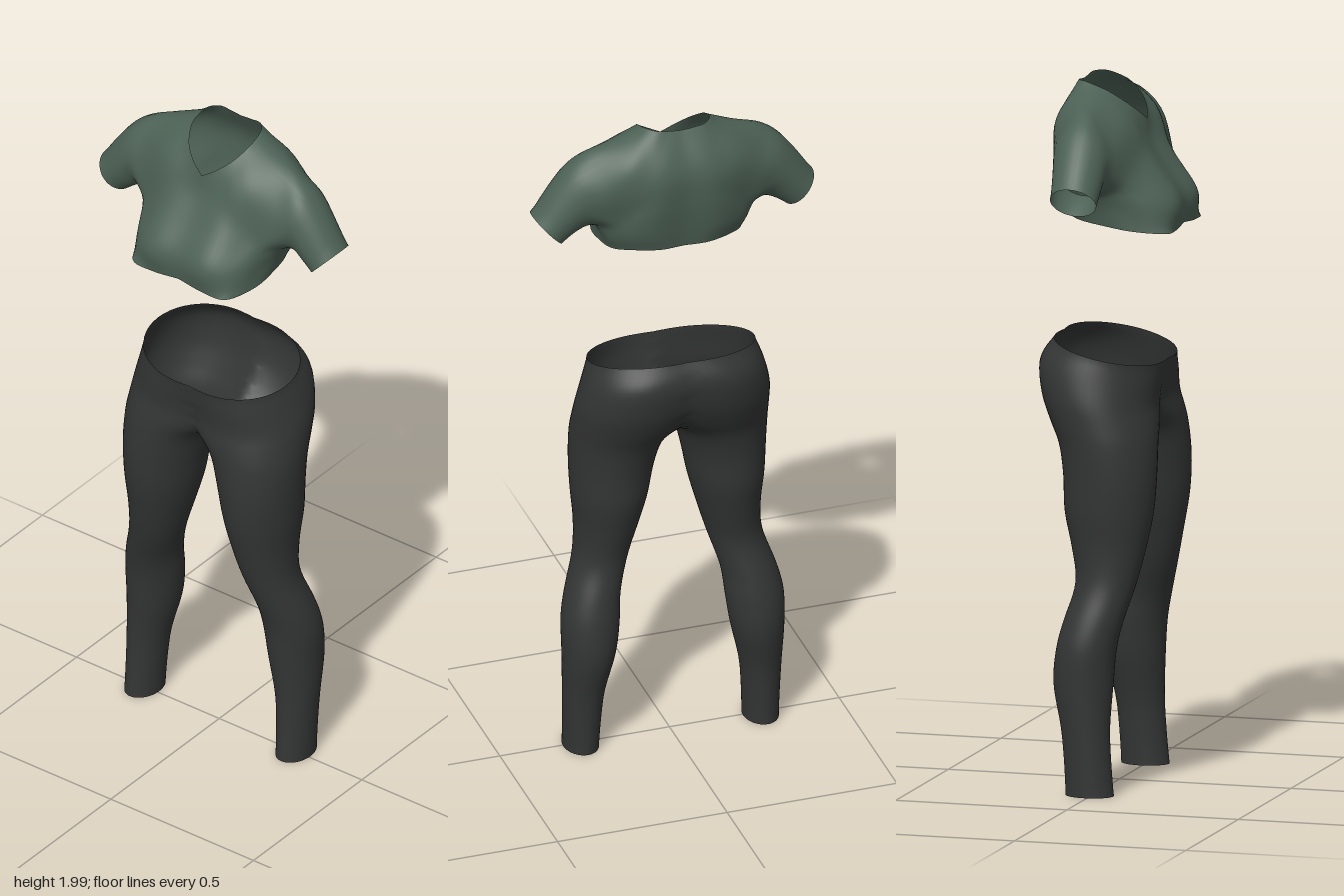
import * as THREE from 'three';
import { mergeVertices } from 'three/addons/utils/BufferGeometryUtils.js';

const V = (p) => new THREE.Vector3(...p);
const samples = (pts, n) => new THREE.CatmullRomCurve3(pts, false, 'catmullrom').getPoints(n);

// Rows of points from a few key rows, by a spline down each column
function loft(keys, steps) {
  const n = steps * (keys.length - 1);
  const cols = keys[0].map((_, c) => samples(keys.map((k) => k[c]), n));
  return Array.from({ length: n + 1 }, (_, r) => cols.map((col) => col[r]));
}

// Relax the cloth while its open edges stay where they are
function relax(geo, rounds) {
  const pos = geo.attributes.position, idx = geo.index.array;
  const near = Array.from({ length: pos.count }, () => new Map());
  const link = (a, b) => near[a].set(b, (near[a].get(b) || 0) + 1);
  for (let i = 0; i < idx.length; i += 3) {
    for (let k = 0; k < 3; k++) {
      const a = idx[i + k], b = idx[i + (k + 1) % 3];
      link(a, b);
      link(b, a);
    }
  }
  const free = near.map((m) => m.size > 0 && [...m.values()].every((n) => n > 1));
  const v = new THREE.Vector3(), sum = new THREE.Vector3();
  for (let round = 0; round < rounds; round++) {
    const old = pos.clone();
    for (let i = 0; i < pos.count; i++) {
      if (!free[i]) continue;
      sum.set(0, 0, 0);
      for (const j of near[i].keys()) sum.add(v.fromBufferAttribute(old, j));
      sum.divideScalar(near[i].size);
      v.fromBufferAttribute(old, i).lerp(sum, 0.5);
      pos.setXYZ(i, v.x, v.y, v.z);
    }
  }
}

// Grids of the left half, mirrored and welded into one smooth open surface
function garment(name, grids, color, rounds) {
  const out = [];
  const tri = (a, b, c) => {
    if (Math.max(a.x, b.x, c.x) < 1e-4) return; // no wall on the centre plane
    if (new THREE.Triangle(a, b, c).getArea() < 1e-9) return;
    for (const p of [a, b, c]) out.push(p.x, p.y, p.z);
    for (const p of [a, c, b]) out.push(-p.x, p.y, p.z);
  };
  for (const rows of grids) {
    for (let r = 0; r + 1 < rows.length; r++) {
      for (let c = 0; c + 1 < rows[r].length; c++) {
        const a = rows[r][c], b = rows[r][c + 1], d = rows[r + 1][c], e = rows[r + 1][c + 1];
        tri(a, d, b);
        tri(b, d, e);
      }
    }
  }
  let geo = new THREE.BufferGeometry();
  geo.setAttribute('position', new THREE.Float32BufferAttribute(out, 3));
  geo = mergeVertices(geo, 1e-5);
  relax(geo, rounds);
  geo.computeVertexNormals();
  const mesh = new THREE.Mesh(geo, new THREE.MeshStandardMaterial({ color, side: THREE.DoubleSide }));
  mesh.name = name;
  return mesh;
}

function trousers() {
  // y, inner x, outer x, front z, back z, centre x; from waist to ankle
  const keys = [
    [1.24, -0.2, 0.242, 0.142, -0.165, 0.05],
    [1.18, -0.16, 0.262, 0.14, -0.2, 0.085],
    [1.11, -0.11, 0.28, 0.138, -0.19, 0.1],
    [1.05, -0.06, 0.285, 0.147, -0.16, 0.12],
    [0.99, 0.012, 0.287, 0.153, -0.128, 0.145],
    [0.9, 0.043, 0.285, 0.156, -0.11, 0.165],
    [0.8, 0.063, 0.28, 0.15, -0.105, 0.172],
    [0.7, 0.09, 0.271, 0.131, -0.082, 0.18],
    [0.6, 0.12, 0.276, 0.108, -0.065, 0.198],
    [0.5, 0.15, 0.308, 0.08, -0.09, 0.229],
    [0.42, 0.158, 0.325, 0.063, -0.108, 0.242],
    [0.32, 0.172, 0.324, 0.056, -0.115, 0.248],
    [0.2, 0.2, 0.32, 0.05, -0.09, 0.26],
    [0.1, 0.21, 0.317, 0.055, -0.08, 0.263],
    [0.008, 0.215, 0.315, 0.063, -0.075, 0.265],
  ];
  const n = 6 * (keys.length - 1);
  const half = (from) => samples(keys.map((k) => V(k.slice(from, from + 3))), n);
  const low = half(0), high = half(3);
  const rows = low.map(({ x: y, y: inner, z: outer }, r) => {
    const { x: front, y: back, z: cx } = high[r];
    const zc = (front + back) / 2, hz = (front - back) / 2;
    return Array.from({ length: 49 }, (_, i) => {
      const t = (i % 48) / 48 * Math.PI * 2;
      const s = Math.sin(t), c = Math.cos(t);
      let x = cx + s * (s > 0 ? outer - cx : cx - inner);
      let z = zc + hz * c;
      if (x < 0) { // the two legs meet on the centre plane
        x = 0;
        z = zc + Math.sign(c) * hz * Math.sqrt(1 - (cx / (cx - inner)) ** 2);
      }
      const tilt = THREE.MathUtils.smoothstep(y, 1.0, 1.24) * 0.22; // waist rises to the back
      return new THREE.Vector3(x, y - tilt * z, z);
    });
  });
  return garment('trousers', [rows], 0x333434, 3);
}

function croppedTop() {
  const K = 6;
  const ring = (pts) => samples(pts.map(V), K * (pts.length - 1));
  // Half rings from centre front over the arm to centre back
  const neck = ring([[0, 1.888, 0.08], [0.04, 1.915, 0.066], [0.075, 1.945, 0.04],
    [0.097, 1.975, 0], [0.1, 1.99, -0.035], [0.094, 2, -0.07],
    [0.07, 2, -0.097], [0.035, 1.996, -0.101], [0, 1.993, -0.101]]);
  const shoulder = ring([[0, 1.83, 0.092], [0.07, 1.84, 0.095], [0.125, 1.86, 0.088],
    [0.16, 1.91, 0.05], [0.17, 1.965, -0.04], [0.16, 1.925, -0.125],
    [0.125, 1.87, -0.155], [0.07, 1.885, -0.163], [0, 1.885, -0.155]]);
  const split = ring([[0, 1.765, 0.13], [0.11, 1.755, 0.143], [0.2, 1.725, 0.085],
    [0.24, 1.84, 0.052], [0.247, 1.943, -0.03], [0.24, 1.84, -0.122],
    [0.2, 1.725, -0.108], [0.1, 1.77, -0.162], [0, 1.77, -0.152]]);
  const underarm = ring([[0.2, 1.725, 0.085], [0.228, 1.708, 0.035], [0.236, 1.704, -0.015],
    [0.228, 1.708, -0.065], [0.2, 1.725, -0.108]]);

  // Body below the armholes
  const bodyTop = [...split.slice(0, 2 * K), ...underarm, ...split.slice(6 * K + 1)];
  const bust = ring([[0, 1.675, 0.187], [0.1, 1.67, 0.203], [0.178, 1.66, 0.148],
    [0.21, 1.66, 0.05], [0.213, 1.66, -0.01], [0.206, 1.66, -0.068],
    [0.17, 1.68, -0.115], [0.09, 1.69, -0.147], [0, 1.69, -0.138]]);
  const hem = ring([[0, 1.598, 0.188], [0.09, 1.59, 0.192], [0.163, 1.592, 0.184],
    [0.198, 1.6, 0.1], [0.202, 1.612, 0.02], [0.19, 1.625, -0.06],
    [0.14, 1.635, -0.108], [0.07, 1.635, -0.13], [0, 1.635, -0.127]]);

  // Sleeve: ovals between a top and a bottom point, starting at the front armpit
  const armhole = [...split.slice(2 * K, 6 * K), ...underarm.slice().reverse()];
  const turns = [115, 75, 0, -75, -115, -150, -180, -210, -245];
  const oval = (tx, ty, bx, by, zc, rz) => armhole.map((_, i) => {
    const k = Math.min(Math.floor(i / K), 7);
    const a = THREE.MathUtils.degToRad(THREE.MathUtils.lerp(turns[k], turns[k + 1], i / K - k));
    const f = (1 - Math.cos(a)) / 2;
    return new THREE.Vector3(THREE.MathUtils.lerp(tx, bx, f), THREE.MathUtils.lerp(ty, by, f),
      zc + rz * Math.sin(a));
  });
  const sleeve = [armhole,
    oval(0.305, 1.9, 0.262, 1.703, -0.028, 0.08),
    oval(0.36, 1.832, 0.295, 1.686, -0.024, 0.072),
    oval(0.413, 1.75, 0.33, 1.66, -0.022, 0.066)];

  return garment('croppedTop', [
    loft([neck, shoulder, split], 7),
    loft([bodyTop, bust, hem], 6),
    loft(sleeve, 5),
  ], 0x4d6155, 5);
}

export function createModel() {
  const group = new THREE.Group();
  group.name = 'outfit';
  group.add(trousers(), croppedTop());
  return group;
}
